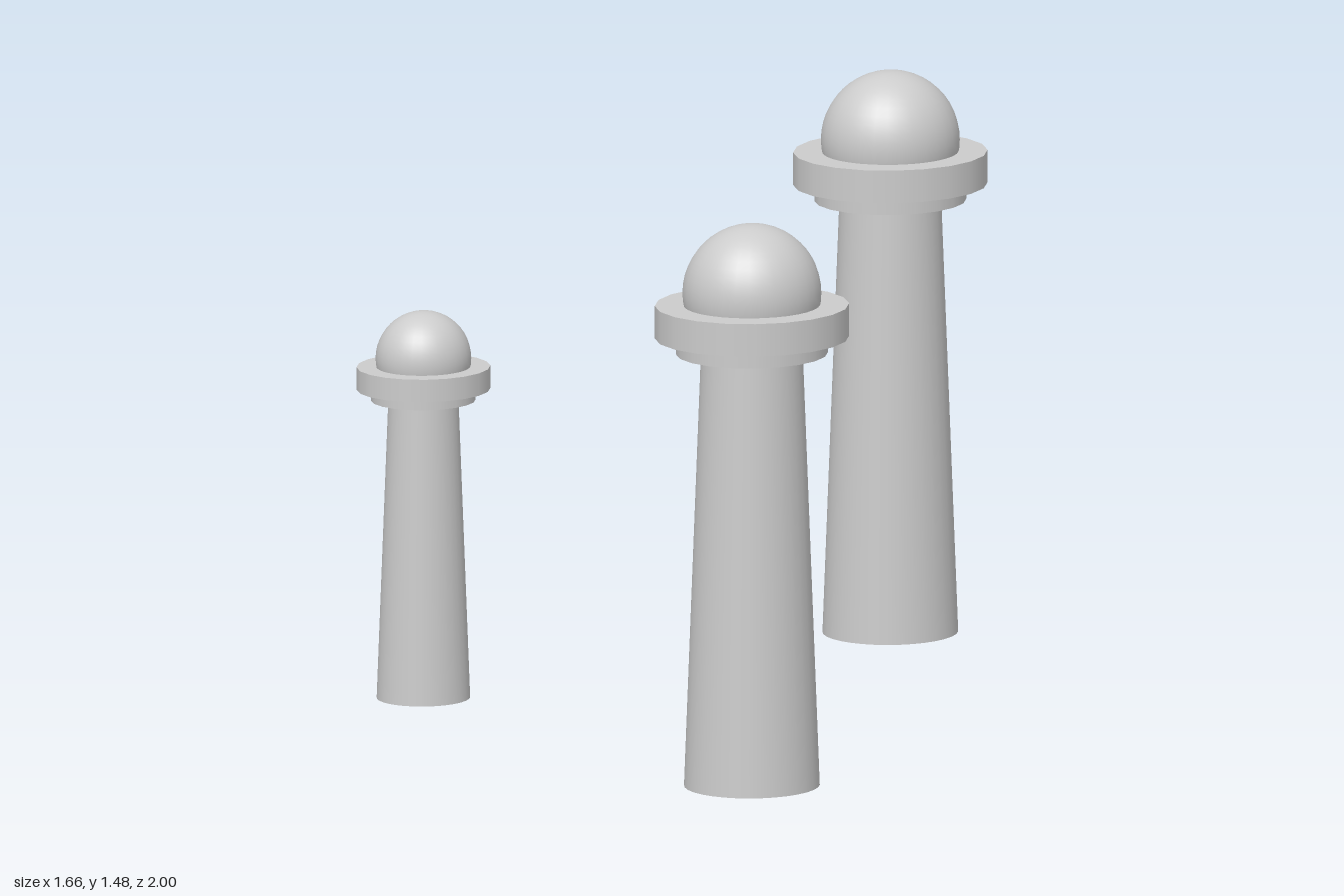
import * as THREE from 'three';

const material = new THREE.MeshStandardMaterial({ color: 0xcccccc });

function addPart(parent, name, geometry, y) {
  const mesh = new THREE.Mesh(geometry, material);
  mesh.name = name;
  mesh.position.y = y;
  parent.add(mesh);
}

// One domed tower standing on its own y = 0
function createTower(name) {
  const tower = new THREE.Group();
  tower.name = name;
  addPart(tower, 'shaft', new THREE.CylinderGeometry(0.127, 0.169, 1.09, 32), 0.545);
  addPart(tower, 'collar', new THREE.CylinderGeometry(0.189, 0.189, 0.041, 20), 1.1105);
  addPart(tower, 'balcony', new THREE.CylinderGeometry(0.242, 0.242, 0.082, 20), 1.172);
  addPart(tower, 'dome', new THREE.SphereGeometry(0.173, 32, 24), 1.243);
  return tower;
}

export function createModel() {
  const model = new THREE.Group();
  model.name = 'towers';

  // Two tall towers and a shorter one; all are slightly narrower in depth
  const layout = [
    ['frontTower', -0.373, 0.06, 0.773, 1],
    ['backTower', 0.588, 0.06, -0.773, 1],
    ['smallTower', -0.664, 0, -0.729, 0.689],
  ];
  for (const [name, x, y, z, size] of layout) {
    const tower = createTower(name);
    tower.position.set(x, y, z);
    tower.scale.set(size, size, size * 0.94);
    model.add(tower);
  }
  return model;
}
